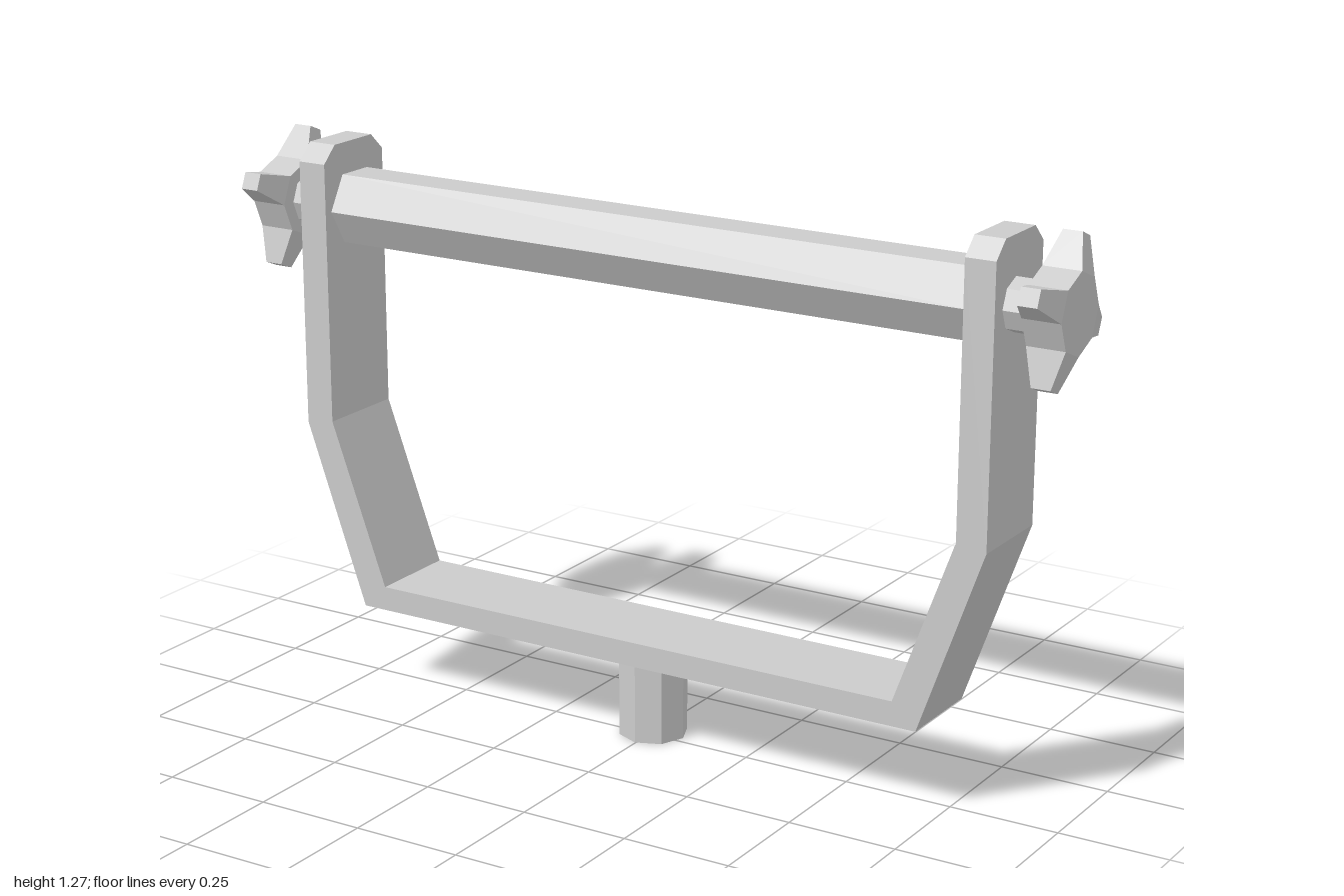
import * as THREE from 'three';

const grey = new THREE.MeshStandardMaterial({ color: 0xcccccc, flatShading: true });
const greyOpen = new THREE.MeshStandardMaterial({ color: 0xcccccc, flatShading: true, side: THREE.DoubleSide });

const MID_Z = -0.018;   // bracket centre line
const DEPTH = 0.215;    // bracket width along z
const AXLE_Y = 1.115;

function add(parent, name, geometry, material = grey) {
  const mesh = new THREE.Mesh(geometry, material);
  mesh.name = name;
  parent.add(mesh);
  return mesh;
}

function extrude(points, depth) {
  const shape = new THREE.Shape(points.map(([x, y]) => new THREE.Vector2(x, y)));
  return new THREE.ExtrudeGeometry(shape, { depth, bevelEnabled: false }).translate(0, 0, -depth / 2);
}

// Prism lying along x
const prismX = (radius, length, sides) =>
  new THREE.CylinderGeometry(radius, radius, length, sides).rotateZ(Math.PI / 2);

// Four-armed clamp knob, axis along x
function makeKnob() {
  const knob = new THREE.Group();
  const r = 0.088, thick = 0.086, tip = 0.161;
  const inner = r * Math.cos(Math.PI / 8);
  const width = 2 * r * Math.sin(Math.PI / 8);
  add(knob, 'knobHub', prismX(r, thick, 8));
  for (let i = 0; i < 4; i++) {
    const arm = new THREE.BoxGeometry(thick, tip - inner, width);
    const p = arm.attributes.position;
    // Taper towards the tip
    for (let v = 0; v < p.count; v++) {
      if (p.getY(v) > 0) {
        p.setX(v, p.getX(v) * 0.5);
        p.setZ(v, p.getZ(v) * 0.57);
      }
    }
    arm.translate(0, (tip + inner) / 2, 0);
    arm.rotateX(Math.PI * 3 / 8 + i * Math.PI / 2);
    arm.computeVertexNormals();
    add(knob, 'knobArm', arm);
  }
  return knob;
}

export function createModel() {
  const model = new THREE.Group();
  model.name = 'yokeBracket';

  // U-shaped bracket: half outline, mirrored in x
  const outer = [[0.712, 0.194], [0.861, 0.614], [0.861, 1.222]];
  const inner = [[0.792, 1.222], [0.792, 0.625], [0.655, 0.25]];
  const half = [...outer, ...inner];
  const outline = [...half, ...half.map(([x, y]) => [-x, y]).reverse()];
  const bracket = add(model, 'bracket', extrude(outline, DEPTH));
  bracket.position.set(-0.004, 0, MID_Z);

  // Hollow mounting stem
  const stem = add(model, 'stem', new THREE.CylinderGeometry(0.078, 0.078, 0.194, 8, 1, true), greyOpen);
  stem.position.set(-0.002, 0.097, -0.02);

  // Hexagonal crossbar
  const bar = add(model, 'crossbar', prismX(0.09, 1.6, 6));
  bar.position.set(-0.004, 1.11, -0.021);

  for (const side of [-1, 1]) {
    // Chamfered leg top
    const w = DEPTH / 2, c = w - 0.04;
    const cap = add(model, 'legCap', extrude([[-w, 1.222], [w, 1.222], [c, 1.26], [-c, 1.26]], 0.069).rotateY(Math.PI / 2));
    cap.position.set(side * 0.8265 - 0.004, 0, MID_Z);

    // Axle stub and knob
    const axle = add(model, 'axle', prismX(0.058, 0.09, 8));
    axle.position.set(side * 0.88, AXLE_Y, -0.003);
    const knob = makeKnob();
    knob.name = 'knob';
    knob.position.set(side * 0.957, AXLE_Y, 0);
    model.add(knob);
  }
  return model;
}
